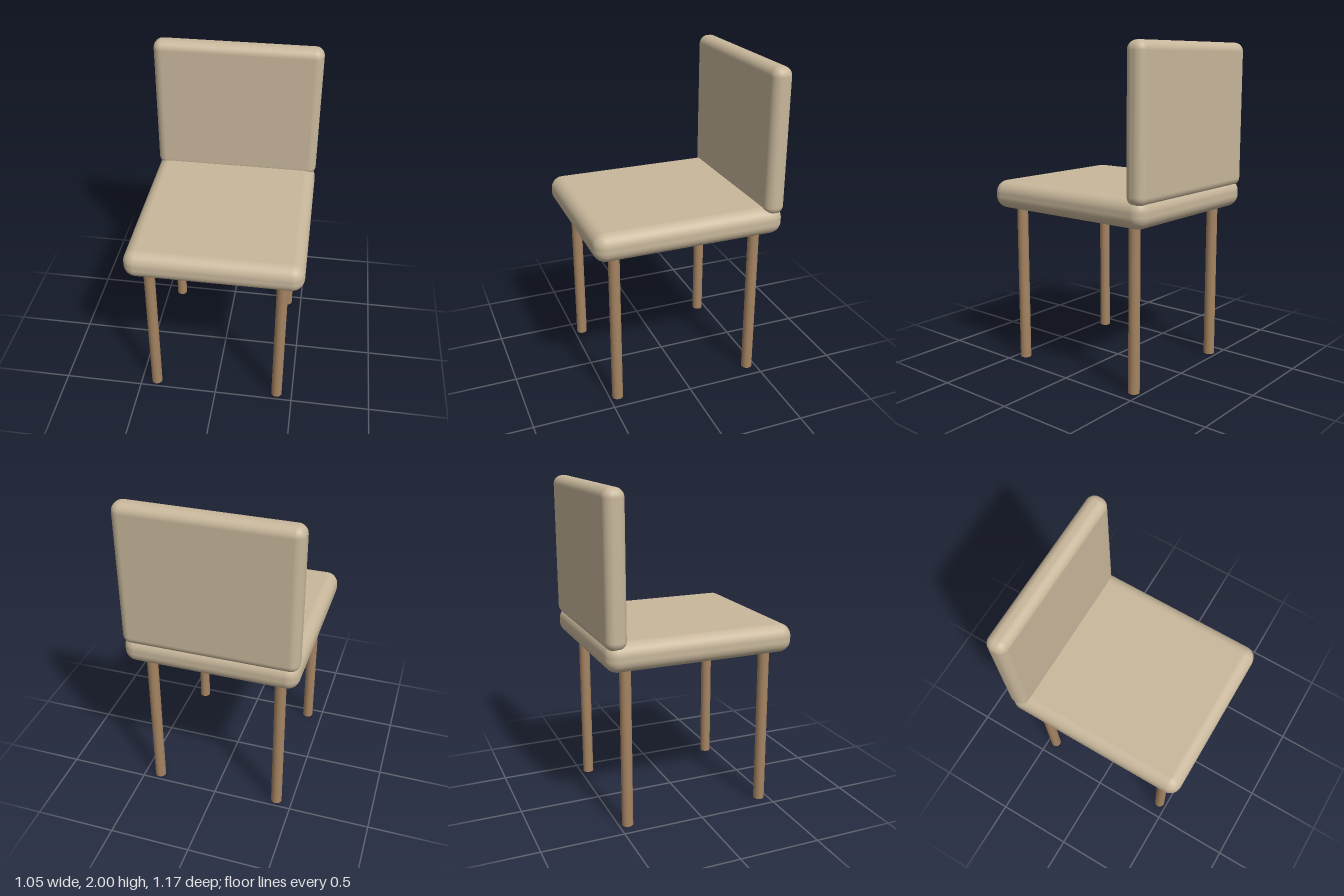
import * as THREE from 'three';
import { RoundedBoxGeometry } from 'three/addons/geometries/RoundedBoxGeometry.js';

export function createModel() {
  const chair = new THREE.Group();
  chair.name = 'chair';

  const fabric = new THREE.MeshStandardMaterial({ color: 0xc8b79b });
  fabric.name = 'beige fabric';
  const wood = new THREE.MeshStandardMaterial({ color: 0xa58462 });
  wood.name = 'brown wood';

  const add = (name, geometry, material, x, y, z) => {
    const mesh = new THREE.Mesh(geometry, material);
    mesh.name = name;
    mesh.position.set(x, y, z);
    chair.add(mesh);
  };

  // Cushions: the backrest sinks slightly into the rear of the seat
  add('seat', new RoundedBoxGeometry(1.054, 0.174, 1.174, 6, 0.075), fabric, 0, 1.073, 0);
  add('backrest', new RoundedBoxGeometry(1.054, 0.885, 0.126, 6, 0.055), fabric, 0, 1.5575, -0.524);

  // Four straight round legs, ending inside the seat
  const legHeight = 1.02;
  const leg = new THREE.CylinderGeometry(0.034, 0.034, legHeight, 24);
  for (const [end, z] of [['front', 0.448], ['back', -0.446]]) {
    for (const [side, x] of [['Left', 0.4], ['Right', -0.4]]) {
      add(`${end}${side}Leg`, leg, wood, x, legHeight / 2, z);
    }
  }

  return chair;
}
